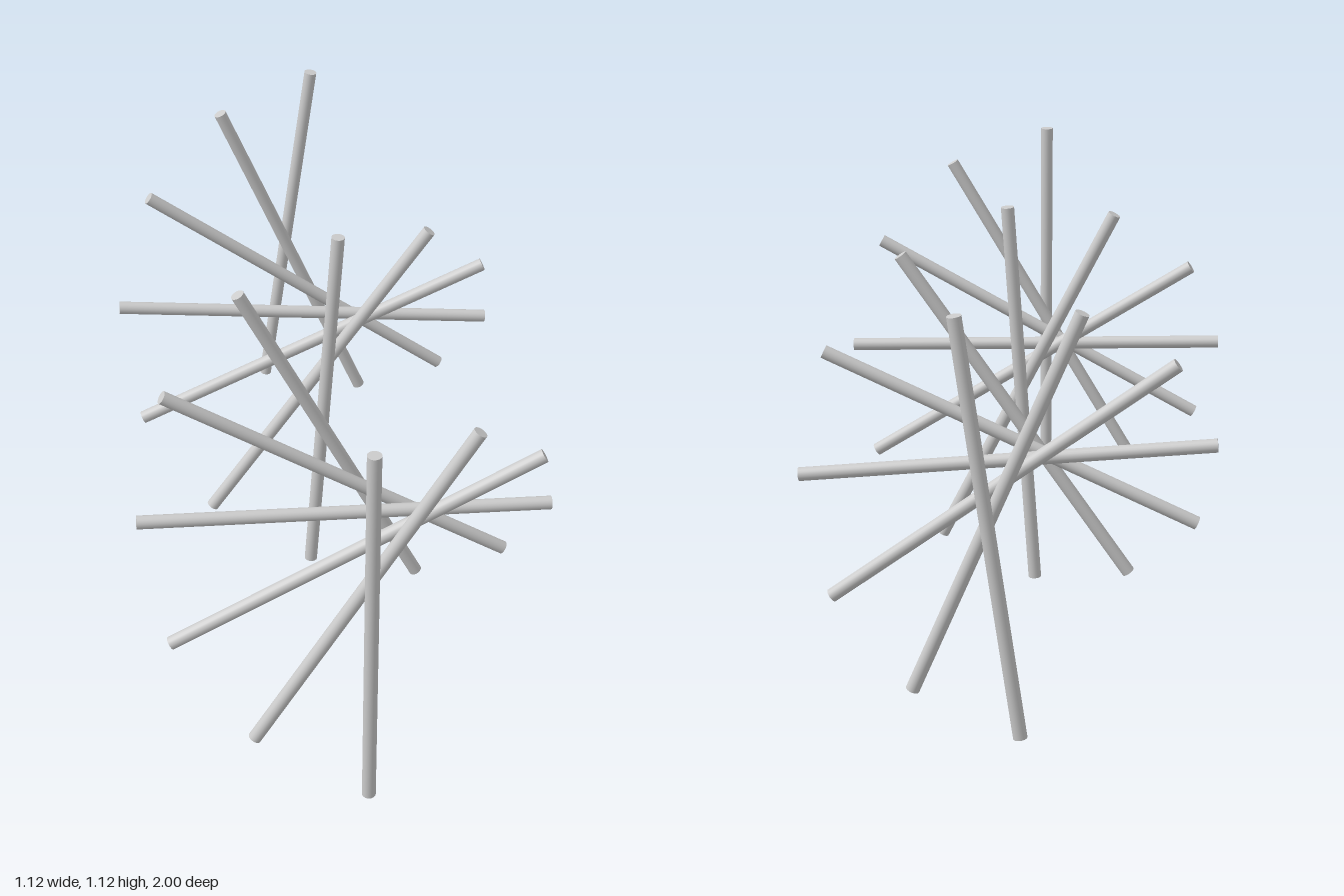
import * as THREE from 'three';

const COUNT = 13;         // rods in the spiral
const RADIUS = 0.0185;
const LENGTH = 1.118;
const TURN = THREE.MathUtils.degToRad(30.67); // twist from one rod to the next

export function createModel() {
  const model = new THREE.Group();
  model.name = 'twistedRods';
  const material = new THREE.MeshStandardMaterial({ color: 0xcccccc });
  const geometry = new THREE.CylinderGeometry(RADIUS, RADIUS, LENGTH, 20);
  const frontZ = 1 - RADIUS;
  const spacing = (2 * frontZ) / (COUNT - 1);

  // Evenly spaced rods, front to back, each turned clockwise about the z axis
  for (let i = 0; i < COUNT; i++) {
    const rod = new THREE.Mesh(geometry, material);
    rod.name = `rod${i + 1}`;
    rod.position.set(0, LENGTH / 2, frontZ - i * spacing);
    rod.rotation.z = -i * TURN;
    model.add(rod);
  }
  return model;
}
